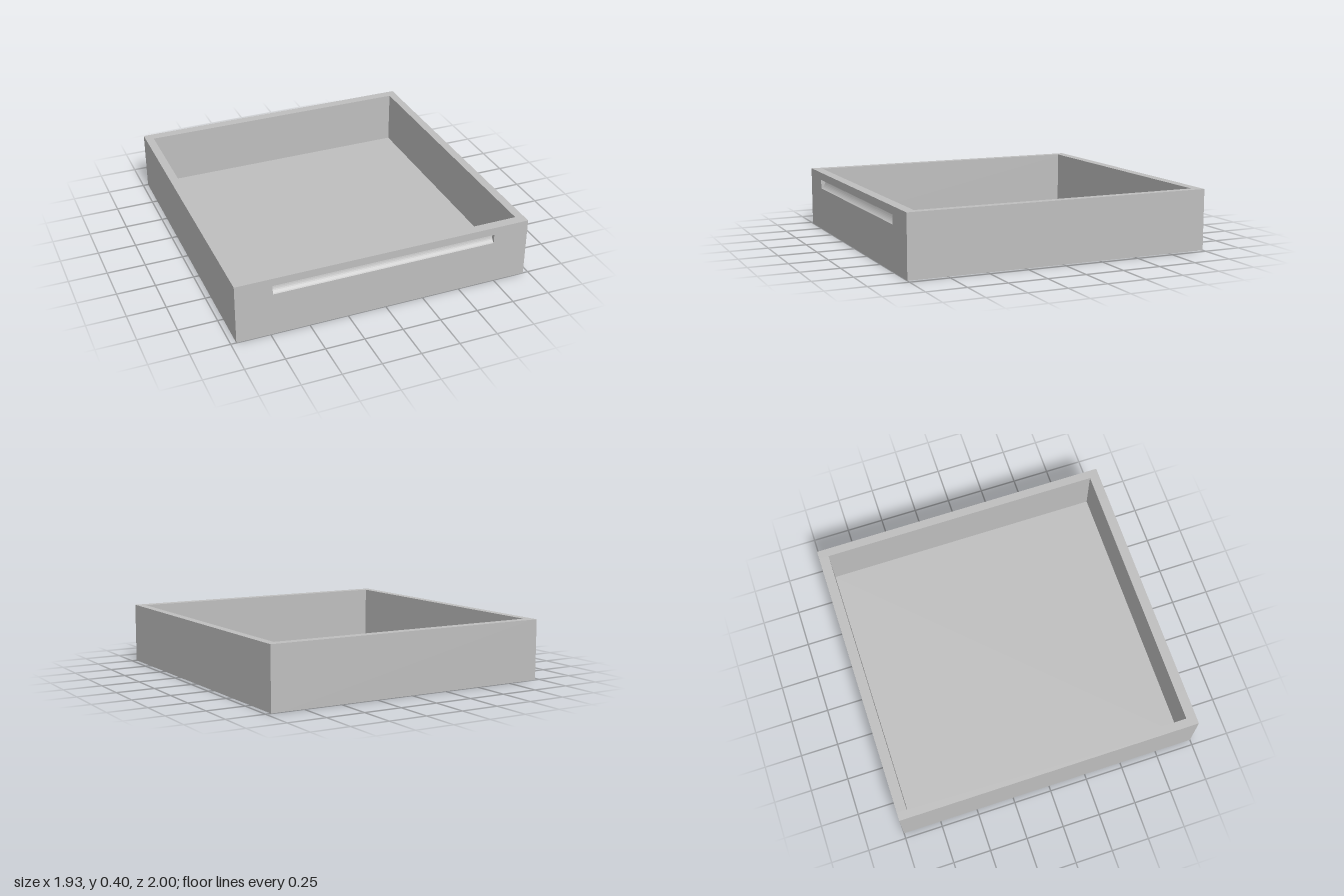
import * as THREE from 'three';

export function createModel() {
  const group = new THREE.Group();
  const grey = new THREE.MeshStandardMaterial({ color: 0xbebebe });
  grey.name = 'plain grey';

  const H = 0.395, W = 0.965, innerX = 0.91, wallZ = 0.935, pullX = 0.73;

  function add(name, geometry) {
    const mesh = new THREE.Mesh(geometry, grey);
    mesh.name = name;
    group.add(mesh);
  }

  // Box given by its limits on each axis
  function box(name, x0, x1, y0, y1, z0, z1) {
    const g = new THREE.BoxGeometry(x1 - x0, y1 - y0, z1 - z0);
    g.translate((x0 + x1) / 2, (y0 + y1) / 2, (z0 + z1) / 2);
    add(name, g);
  }

  // Side walls and the end blocks of the front
  for (const [side, s] of [['left', 1], ['right', -1]]) {
    const span = (a, b) => (s > 0 ? [a, b] : [-b, -a]);
    box(side + 'Wall', ...span(innerX, W), 0, H, -1, wallZ);
    box(side + 'FrontBlock', ...span(pullX, W), 0, H, wallZ, 1);
  }

  // Back wall between the sides, and the slightly raised floor
  box('backWall', -innerX, innerX, 0, H, -1, -wallZ);
  box('floor', -innerX, innerX, 0.02, 0.04, -wallZ, wallZ);

  // Front panel: profile in (z, y) with a finger groove under the top lip
  const profile = new THREE.Shape();
  profile.moveTo(wallZ, 0);
  profile.lineTo(1, 0);
  profile.lineTo(1, 0.285);
  profile.quadraticCurveTo(0.972, 0.3, 0.968, 0.345);
  profile.lineTo(1, 0.345);
  profile.lineTo(1, H);
  profile.lineTo(wallZ, H);
  profile.closePath();
  const panel = new THREE.ExtrudeGeometry(profile, {
    depth: pullX * 2, bevelEnabled: false, curveSegments: 8,
  });
  panel.translate(0, 0, -pullX);
  panel.rotateY(-Math.PI / 2);
  add('frontPanelWithFingerGroove', panel);

  return group;
}
